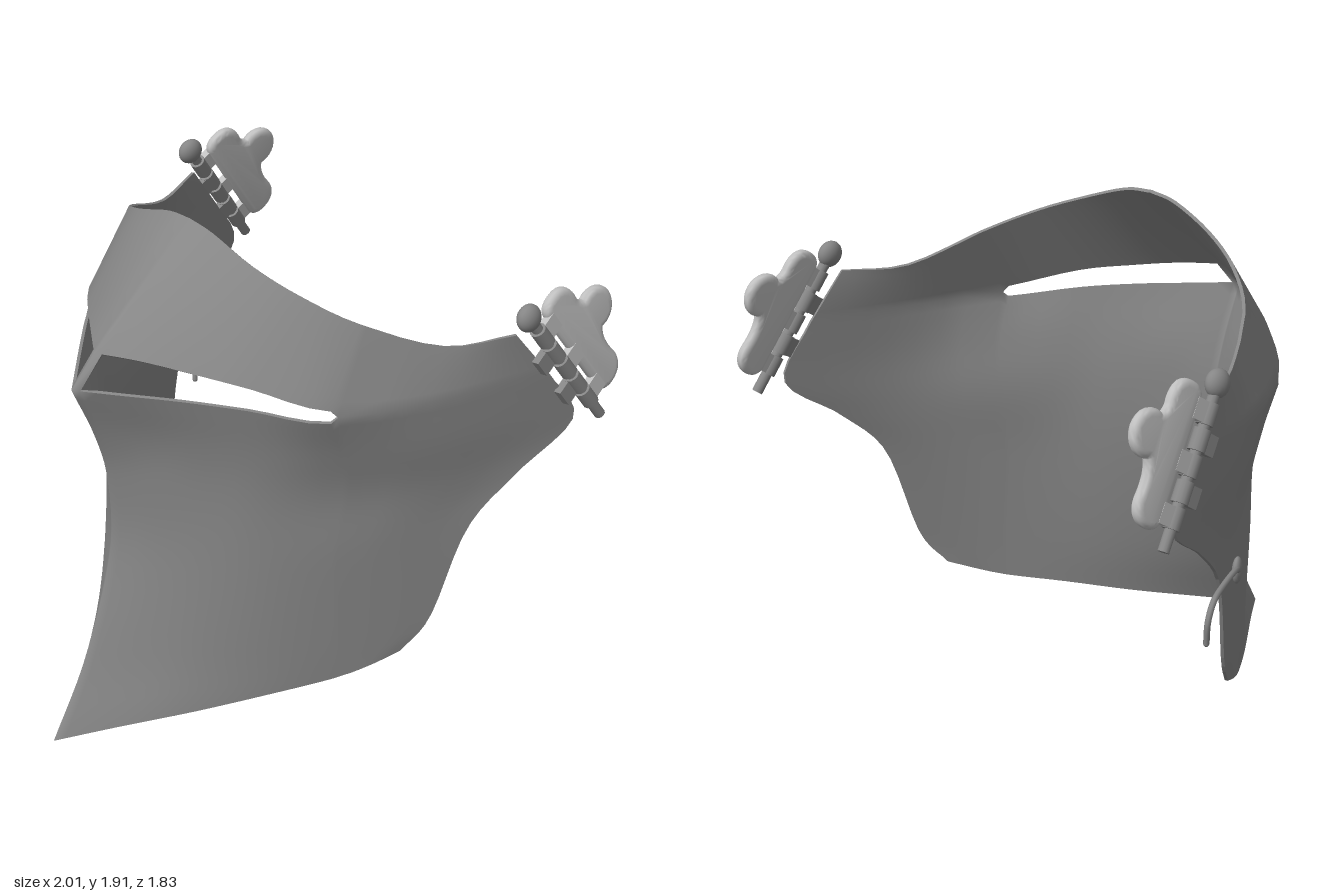
import * as THREE from 'three';
import { mergeVertices, toCreasedNormals } from 'three/addons/utils/BufferGeometryUtils.js';

const V = (x, y, z) => new THREE.Vector3(x, y, z);
const spline = (pts) => new THREE.CatmullRomCurve3(pts, false, 'catmullrom', 0.5);
const THICKNESS = 0.012;

// Half cross-sections of the plate, from the central ridge to the rear edge, bottom to top
const LOWER = [
  [[0, 0, .91], [.14, .05, .71], [.3, .105, .49], [.46, .17, .27], [.59, .225, .08], [.66, .27, -.03], [.715, .32, -.135]],
  [[0, .3, .755], [.14, .31, .61], [.3, .33, .45], [.46, .355, .27], [.6, .39, .08], [.7, .42, -.09], [.77, .46, -.225]],
  [[0, .7, .63], [.15, .71, .53], [.3, .72, .42], [.46, .73, .28], [.6, .75, .105], [.72, .78, -.1], [.83, .82, -.33]],
  [[0, 1, .63], [.15, 1, .53], [.3, 1, .42], [.46, 1, .29], [.62, 1, .08], [.77, 1, -.18], [.89, 1.01, -.5]],
  [[0, 1.2, .68], [.15, 1.2, .56], [.3, 1.2, .45], [.47, 1.19, .31], [.645, 1.19, .11], [.805, 1.19, -.2], [.95, 1.19, -.71]],
];
const SLIT_LOW = [[0, 1.41, .77], [.14, 1.405, .65], [.29, 1.4, .52], [.46, 1.385, .37], [.66, 1.352, .175], [.8, 1.38, -.15], [.925, 1.4, -.59]];
const SLIT_HIGH = [[0, 1.52, .67], [.14, 1.515, .58], [.29, 1.495, .48], [.46, 1.465, .36], [.66, 1.4, .175], [.8, 1.38, -.15], [.925, 1.4, -.59]];
const TOP = [[0, 1.9, .25], [.12, 1.885, .245], [.3, 1.82, .22], [.47, 1.75, .15], [.63, 1.665, .02], [.78, 1.56, -.23], [.89, 1.57, -.46]];

function faceplateGeometry() {
  const half = [0.17];
  for (let u = 0.5; u <= 6; u += 0.25) half.push(u === 4.25 ? 4.08 : u);
  const columns = [...half.map((u) => -u).reverse(), 0, ...half];
  const curves = [...LOWER, SLIT_LOW, SLIT_HIGH, TOP].map((row) => spline(row.map((p) => V(...p))));
  const LOW_STEPS = 24, HIGH_STEPS = 6, rows = LOW_STEPS + HIGH_STEPS + 2;

  // Loft each column through the sections; the slit closes beyond its outer end
  const positions = [];
  for (const col of columns) {
    const u = Math.abs(col);
    const pts = curves.map((c) => c.getPoint(u / 6));
    const n = LOWER.length;
    if (u > 4.01) {
      pts[n].lerp(pts[n + 1], 0.5);
      pts[n + 1].copy(pts[n]);
    }
    const low = spline(pts.slice(0, n + 1));
    const line = [];
    for (let j = 0; j <= LOW_STEPS; j++) line.push(low.getPoint(j / LOW_STEPS));
    for (let j = 0; j <= HIGH_STEPS; j++) line.push(pts[n + 1].clone().lerp(pts[n + 2], j / HIGH_STEPS));
    line.forEach((p) => positions.push(col < 0 ? -p.x : p.x, p.y, p.z));
  }
  const index = [];
  for (let i = 0; i < columns.length - 1; i++) {
    for (let j = 0; j < rows - 1; j++) {
      const bar = Math.max(Math.abs(columns[i]), Math.abs(columns[i + 1])) < 0.2;
      if (j === LOW_STEPS && !bar) continue; // eye slit
      const a = i * rows + j, b = a + rows;
      index.push(a, b, b + 1, a, b + 1, a + 1);
    }
  }
  let outer = new THREE.BufferGeometry();
  outer.setAttribute('position', new THREE.Float32BufferAttribute(positions, 3));
  outer.setIndex(index);
  outer = mergeVertices(outer, 1e-4);
  outer.computeVertexNormals();

  // Thicken: inner skin plus walls along every open edge
  const P = outer.attributes.position, N = outer.attributes.normal, I = outer.index.array;
  const count = P.count, verts = Array.from(P.array), faces = Array.from(I);
  for (let k = 0; k < count * 3; k++) verts.push(P.array[k] - N.array[k] * THICKNESS);
  const edges = new Set();
  for (let f = 0; f < I.length; f += 3) {
    faces.push(I[f] + count, I[f + 2] + count, I[f + 1] + count);
    for (let k = 0; k < 3; k++) edges.add(I[f + k] + '_' + I[f + (k + 1) % 3]);
  }
  for (const e of edges) {
    const [a, b] = e.split('_').map(Number);
    if (edges.has(b + '_' + a)) continue;
    const s = verts.length / 3;
    for (const v of [b, a, a + count, b + count]) verts.push(...verts.slice(v * 3, v * 3 + 3));
    faces.push(s, s + 1, s + 2, s, s + 2, s + 3);
  }
  const solid = new THREE.BufferGeometry();
  solid.setAttribute('position', new THREE.Float32BufferAttribute(verts, 3));
  solid.setIndex(faces);
  solid.computeVertexNormals();
  return solid;
}

// Hinge frame: x runs down the pin, y toward the rear of the leaf, z outward
function buildHinge(steel, paleSteel) {
  const hinge = new THREE.Group();
  const add = (name, geometry, material, x, y, z) => {
    const m = new THREE.Mesh(geometry, material);
    m.name = name;
    m.position.set(x, y, z);
    hinge.add(m);
    return m;
  };
  // Three-lobed leaf with a pillowed edge
  const s = new THREE.Shape();
  s.moveTo(-.2, .078);
  s.lineTo(.2, .078);
  s.quadraticCurveTo(.228, .08, .225, .12);
  s.quadraticCurveTo(.22, .17, .17, .168);
  s.quadraticCurveTo(.08, .155, .035, .19);
  s.absarc(-.03, .232, .056, -.5, Math.PI + .5, false);
  s.quadraticCurveTo(-.11, .16, -.16, .17);
  s.quadraticCurveTo(-.215, .17, -.22, .13);
  s.quadraticCurveTo(-.225, .08, -.2, .078);
  const leaf = new THREE.ExtrudeGeometry(s, {
    depth: .004, bevelEnabled: true, bevelSize: .025, bevelThickness: .02, bevelSegments: 4, curveSegments: 8,
  });
  add('hingeLeaf', toCreasedNormals(leaf, 0.9), paleSteel, 0, 0, -.01);

  const pin = add('hingePin', new THREE.CylinderGeometry(.02, .02, .57, 12), steel, .01, 0, 0);
  pin.rotation.z = Math.PI / 2;
  for (let i = 0; i < 5; i++) {
    const x = -.17 + i * .088;
    const knuckle = add('hingeKnuckle', new THREE.CylinderGeometry(.03, .03, .074, 14), steel, x, 0, 0);
    knuckle.rotation.z = Math.PI / 2;
    // Straps alternate between the leaf and the faceplate
    if (i % 2 === 0) add('leafStrap', new THREE.BoxGeometry(.07, .07, .03), paleSteel, x, .045, 0);
    else add('plateStrap', new THREE.BoxGeometry(.07, .08, .03), steel, x, -.04, -.008);
  }
  const knob = add('pinKnob', new THREE.SphereGeometry(.05, 18, 12), steel, -.275, 0, 0);
  knob.scale.z = .7;

  const d = V(.06, -.45, -.32).normalize();
  const n = V(0, 0, 0).crossVectors(d, V(-.03, .17, -.24)).normalize();
  const q = V(0, 0, 0).crossVectors(n, d);
  hinge.quaternion.setFromRotationMatrix(new THREE.Matrix4().makeBasis(d, q, n));
  hinge.position.set(.953, 1.412, -.65);
  return hinge;
}

export function createModel() {
  const steel = new THREE.MeshStandardMaterial({ color: 0x868686 });
  steel.name = 'steel';
  const paleSteel = new THREE.MeshStandardMaterial({ color: 0xc0c0c0 });
  paleSteel.name = 'pale steel';
  const model = new THREE.Group();
  model.name = 'visor';

  const plate = new THREE.Mesh(faceplateGeometry(), steel);
  plate.name = 'faceplate';
  plate.position.x = .012;
  model.add(plate);

  // Hinges on both sides
  for (const side of [1, -1]) {
    const mirror = new THREE.Group();
    mirror.name = side > 0 ? 'leftHinge' : 'rightHinge';
    mirror.scale.x = side;
    mirror.add(buildHinge(steel, paleSteel));
    model.add(mirror);
  }

  // Latch hook on the right cheek
  const path = new THREE.CatmullRomCurve3([
    V(-.755, .77, -.16), V(-.785, .815, -.2), V(-.835, .822, -.33),
    V(-.872, .805, -.43), V(-.88, .75, -.465), V(-.87, .66, -.46),
  ]);
  const hook = new THREE.Mesh(new THREE.TubeGeometry(path, 32, .011, 8), steel);
  hook.name = 'latchHook';
  const tip = new THREE.Mesh(new THREE.SphereGeometry(.011, 8, 6), steel);
  tip.name = 'latchTip';
  tip.position.set(-.87, .66, -.46);
  const pad = new THREE.Mesh(new THREE.SphereGeometry(1, 14, 10), steel);
  pad.name = 'latchPad';
  pad.scale.set(.018, .05, .035);
  pad.rotation.y = .45;
  pad.position.set(-.762, .795, -.17);
  model.add(hook, tip, pad);
  return model;
}
